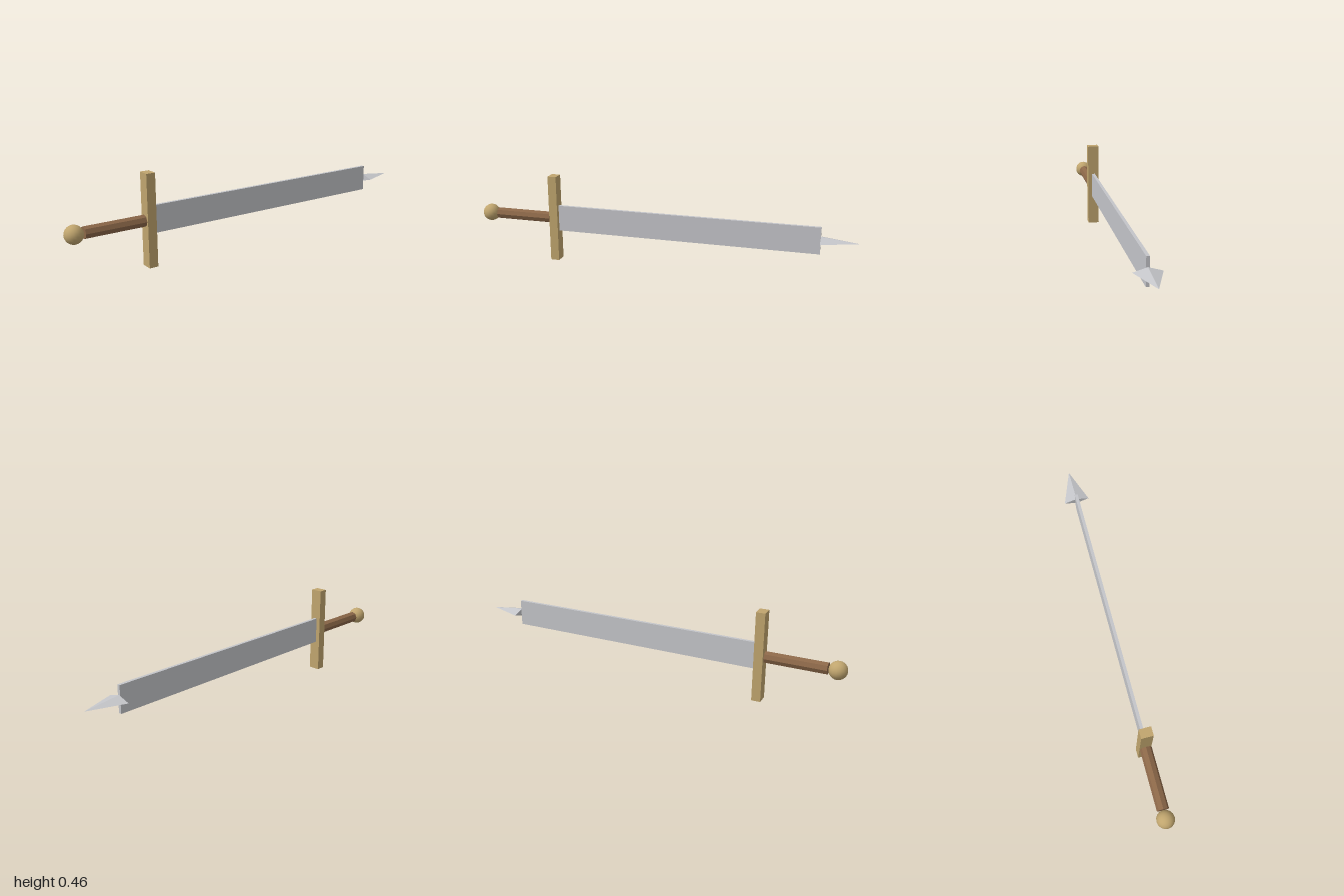
import * as THREE from 'three';

const AXIS_Y = 0.23; // height of the sword's long axis

export function createModel() {
  const group = new THREE.Group();
  const gold = new THREE.MeshStandardMaterial({ color: 0xc0a56e });
  const wood = new THREE.MeshStandardMaterial({ color: 0x8b6748, flatShading: true });
  const steel = new THREE.MeshStandardMaterial({ color: 0xc4c5c9, flatShading: true });

  const add = (name, geometry, material, x) => {
    const mesh = new THREE.Mesh(geometry, material);
    mesh.name = name;
    mesh.position.set(x, AXIS_Y, 0);
    group.add(mesh);
  };

  // Round pommel at the end of the grip
  add('pommel', new THREE.SphereGeometry(0.045, 16, 12), gold, -0.955);

  // Eight-sided grip lying along x
  add('grip', new THREE.CylinderGeometry(0.03, 0.03, 0.305, 8).rotateZ(-Math.PI / 2), wood, -0.757);

  // Upright crossguard
  add('crossguard', new THREE.BoxGeometry(0.046, 0.46, 0.06), gold, -0.578);

  // Flat slab blade
  add('blade', new THREE.BoxGeometry(1.37, 0.137, 0.016), steel, 0.13);

  // Four-sided point, wide across z and thin in y
  const point = new THREE.ConeGeometry(1, 0.185, 4).rotateZ(-Math.PI / 2).scale(1, 0.02, 0.067);
  point.computeVertexNormals();
  add('bladeTip', point, steel, 0.9075);

  return group;
}
